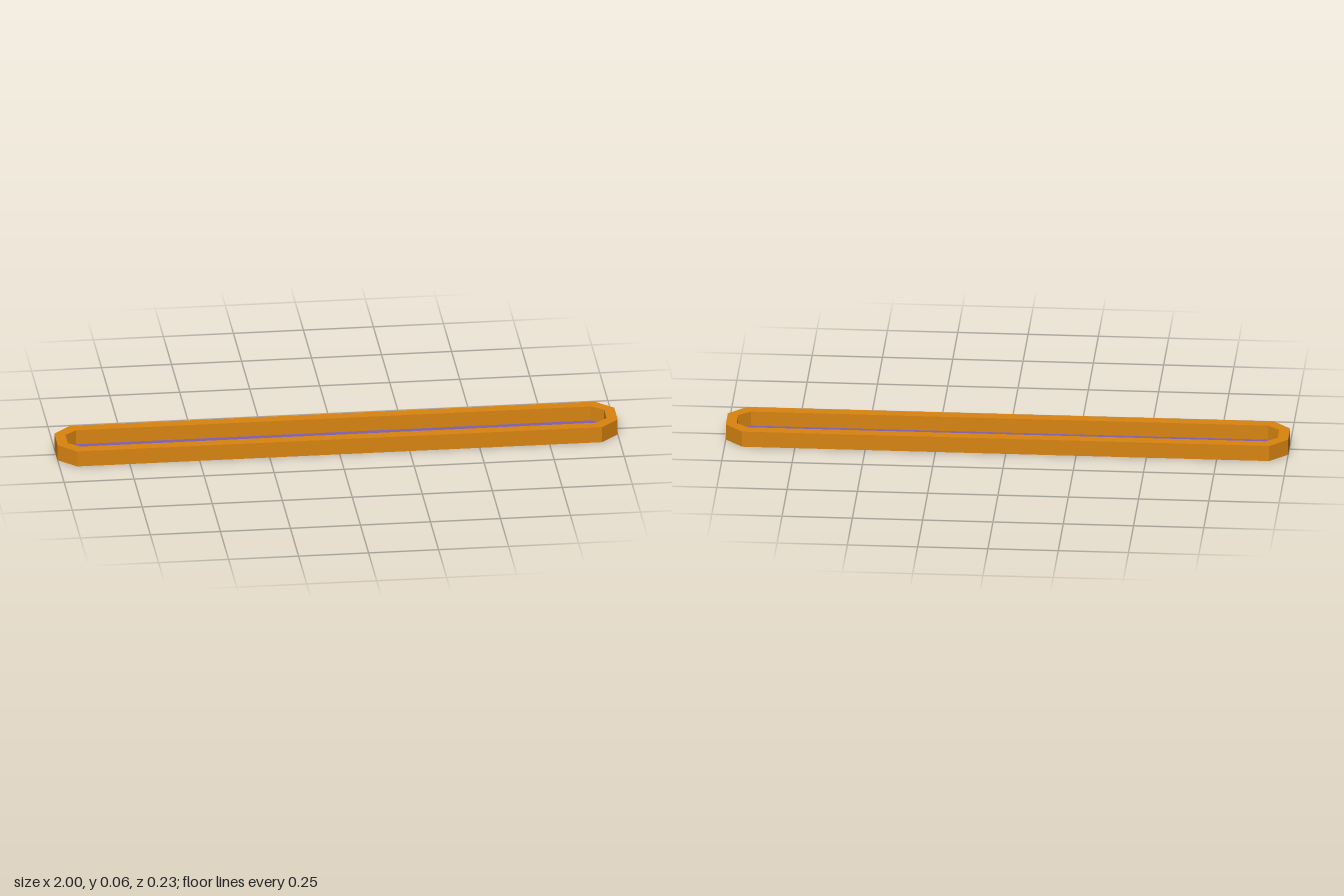
import * as THREE from 'three';

// Corner points of a rectangle with cut corners
function octagon(halfX, halfZ, cutX, cutZ) {
  const x = halfX - cutX, z = halfZ - cutZ;
  return [
    [halfX, -z], [halfX, z], [x, halfZ], [-x, halfZ],
    [-halfX, z], [-halfX, -z], [-x, -halfZ], [x, -halfZ],
  ].map(([a, b]) => new THREE.Vector2(a, b));
}

// Upright prism standing on y = 0
function prism(shape, height) {
  const geometry = new THREE.ExtrudeGeometry(shape, { depth: height, bevelEnabled: false });
  return geometry.rotateX(-Math.PI / 2);
}

export function createModel() {
  const orange = new THREE.MeshStandardMaterial({ name: 'orange', color: 0xd98510 });
  const purple = new THREE.MeshStandardMaterial({ name: 'purple', color: 0x8060ae });

  const outer = octagon(1, 0.115, 0.063, 0.063);
  const inner = octagon(0.962, 0.073, 0.042, 0.036);

  // Raised rim, open through the middle
  const rimShape = new THREE.Shape(outer);
  rimShape.holes.push(new THREE.Path(inner));
  const rim = new THREE.Mesh(prism(rimShape, 0.058), orange);
  rim.name = 'rim';

  // Thin floor flush with the underside
  const floor = new THREE.Mesh(prism(new THREE.Shape(inner), 0.004), purple);
  floor.name = 'floor';

  const model = new THREE.Group();
  model.name = 'tray';
  model.add(rim, floor);
  return model;
}
